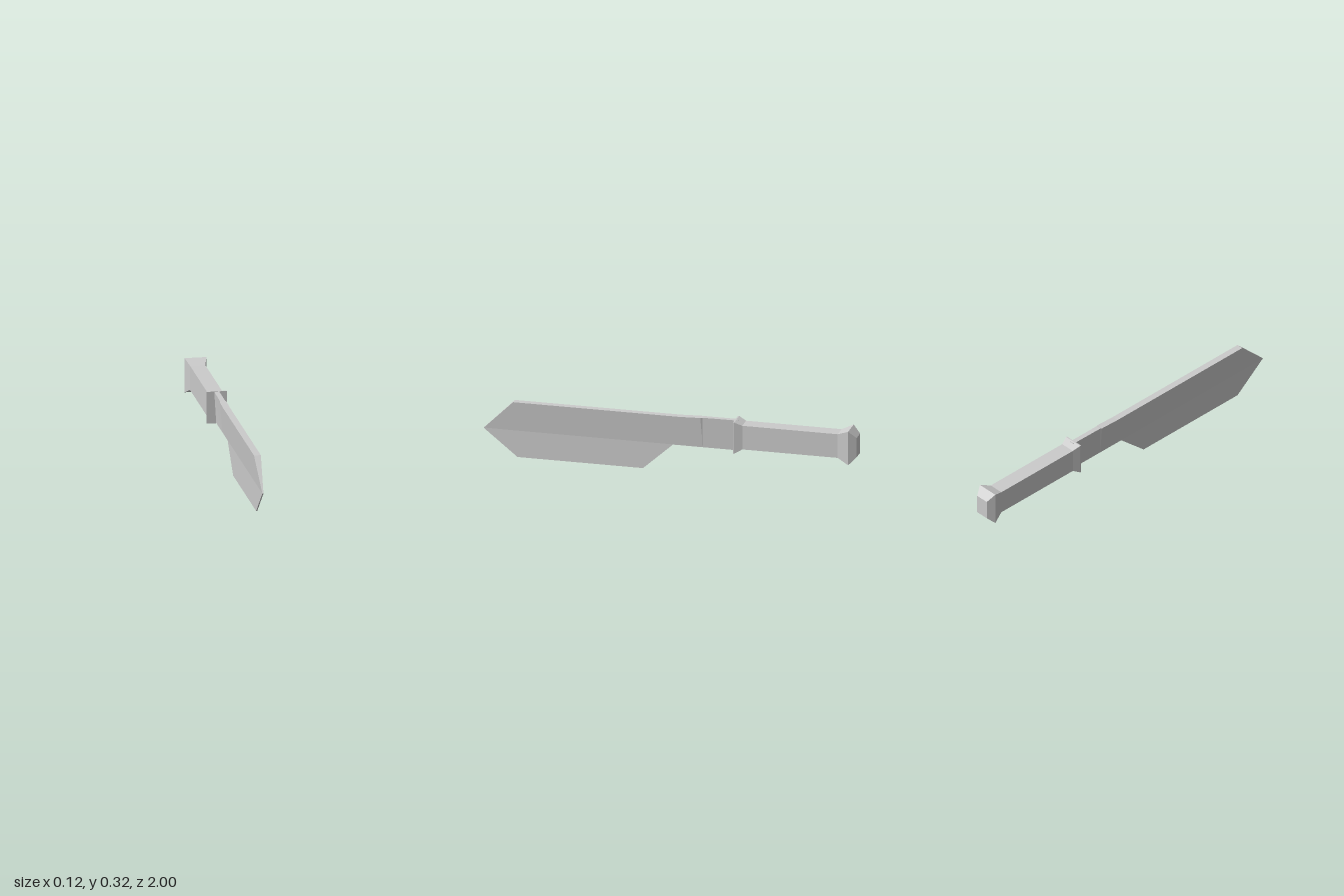
import * as THREE from 'three';

// Skin closed rings of [x, y, z] points, listed from back to front, with flat end caps.
function loft(name, rings) {
  const n = rings[0].length;
  const index = [];
  for (let r = 0; r < rings.length - 1; r++) {
    for (let i = 0; i < n; i++) {
      const a = r * n + i, b = r * n + (i + 1) % n;
      index.push(a, b, b + n, a, b + n, a + n);
    }
  }
  const last = (rings.length - 1) * n;
  for (let i = 1; i < n - 1; i++) {
    index.push(0, i + 1, i, last, last + i, last + i + 1);
  }
  const indexed = new THREE.BufferGeometry();
  indexed.setAttribute('position', new THREE.Float32BufferAttribute(rings.flat(2), 3));
  indexed.setIndex(index);
  const geometry = indexed.toNonIndexed();
  geometry.computeVertexNormals();
  const material = new THREE.MeshStandardMaterial({ color: 0xcccccc, flatShading: true });
  const mesh = new THREE.Mesh(geometry, material);
  mesh.name = name;
  return mesh;
}

// Rectangular ring, counter-clockwise seen from the front
const rectRing = ([z, w, y0, y1]) => [[-w, y0, z], [w, y0, z], [w, y1, z], [-w, y1, z]];

// Blade ring: thick spine tapering to a thin sheet at the middle line
const EDGE = 0.003, MID = 0.145;
const bladeRing = ([z, w, y0, y1]) => [
  [-EDGE, y0, z], [EDGE, y0, z], [EDGE, MID, z],
  [w, y1, z], [-w, y1, z], [-EDGE, MID, z],
];

export function createModel() {
  const group = new THREE.Group();
  group.name = 'knife';

  // Blade: z, half width of spine, lower edge, spine height
  group.add(loft('blade', [
    [-0.36, 0.013, 0.144, 0.311],
    [-0.17, 0.014, 0.144, 0.31],
    [-0.16, 0.018, 0.144, 0.309],
    [-0.05, 0.018, 0.144, 0.305],
    [-0.01, 0.018, 0.144, 0.305],
    [0.15, 0.018, 0, 0.305],
    [0.82, 0.018, 0, 0.305],
    [0.84, 0.018, 0.016, 0.305],
    [1, EDGE, 0.144, 0.146],
  ].map(bladeRing)));

  // Flared guard: z, half width, bottom, top
  group.add(loft('guard', [
    [-0.39, 0.04, 0.165, 0.295],
    [-0.35, 0.053, 0.142, 0.313],
    [-0.343, 0.053, 0.142, 0.313],
  ].map(rectRing)));

  // Grip
  group.add(loft('grip', [
    [-0.9, 0.04, 0.165, 0.295],
    [-0.39, 0.04, 0.165, 0.295],
  ].map(rectRing)));

  // Pommel, chamfered at the back
  group.add(loft('pommel', [
    [-1, 0.036, 0.176, 0.282],
    [-0.96, 0.058, 0.136, 0.32],
    [-0.9, 0.04, 0.165, 0.295],
  ].map(rectRing)));

  return group;
}
